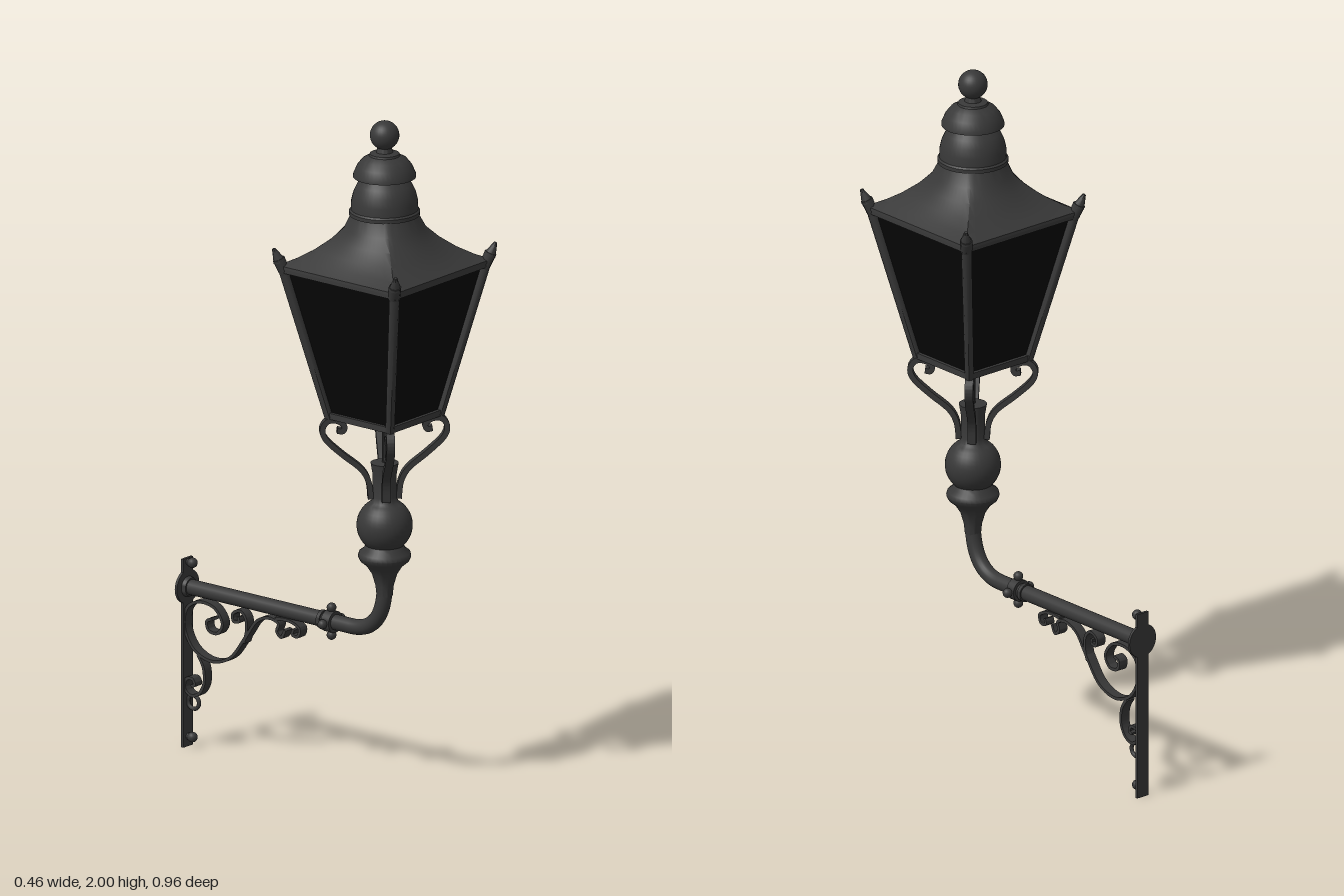
import * as THREE from 'three';
import { toCreasedNormals } from 'three/addons/utils/BufferGeometryUtils.js';

const iron = new THREE.MeshStandardMaterial({ color: 0x383838 });
iron.name = 'darkIron';
const pane = new THREE.MeshStandardMaterial({ color: 0x070707, side: THREE.DoubleSide });
pane.name = 'blackGlass';

const AXIS = 0.25; // z of the lantern's upright axis
const ARM_Y = 0.475;

function add(parent, name, geometry, material = iron, x = 0, y = 0, z = 0) {
  const mesh = new THREE.Mesh(geometry, material);
  mesh.name = name;
  mesh.position.set(x, y, z);
  parent.add(mesh);
  return mesh;
}

const v2 = (list) => list.map(([x, y]) => new THREE.Vector2(x, y));

function lathe(list, segments = 32) {
  return toCreasedNormals(new THREE.LatheGeometry(v2(list), segments), 0.7);
}

// Straight bar between two points
function bar(parent, name, a, b, r0, r1, sides = 8) {
  const from = new THREE.Vector3(...a), dir = new THREE.Vector3(...b).sub(from);
  const geo = toCreasedNormals(new THREE.CylinderGeometry(r1, r0, dir.length(), sides), 0.9);
  const mesh = add(parent, name, geo);
  mesh.position.copy(from).addScaledVector(dir, 0.5);
  mesh.quaternion.setFromUnitVectors(new THREE.Vector3(0, 1, 0), dir.normalize());
  return mesh;
}

// Flat iron strip following a 2D curve, extruded to the given width
function strip(list, thickness, width, steps = 60) {
  const curve = new THREE.SplineCurve(v2(list));
  const left = [], right = [];
  for (let i = 0; i <= steps; i++) {
    const p = curve.getPoint(i / steps), t = curve.getTangent(i / steps);
    const n = new THREE.Vector2(-t.y, t.x).multiplyScalar(thickness / 2);
    left.push(p.clone().add(n));
    right.unshift(p.clone().sub(n));
  }
  const geo = new THREE.ExtrudeGeometry(new THREE.Shape([...left, ...right]),
    { depth: width, bevelEnabled: false });
  geo.translate(0, 0, -width / 2);
  return toCreasedNormals(geo, 0.8);
}

function buildWallBracket() {
  const g = new THREE.Group();
  g.name = 'wallBracket';
  add(g, 'wallPlate', new THREE.BoxGeometry(0.042, 0.56, 0.008), iron, 0, 0.28, -0.476);
  for (const y of [0.03, 0.548]) {
    bar(g, 'boltShank', [0, y, -0.475], [0, y, -0.455], 0.01, 0.01, 12);
    add(g, 'boltHead', new THREE.SphereGeometry(0.015, 16, 12), iron, 0, y, -0.456);
  }
  bar(g, 'wallRosette', [0, ARM_Y, -0.48], [0, ARM_Y, -0.472], 0.05, 0.05, 28);
  bar(g, 'wallCollar', [0, ARM_Y, -0.472], [0, ARM_Y, -0.46], 0.03, 0.027, 24);

  // Arm tube sweeping up into the post
  const path = new THREE.CurvePath();
  const P = (y, z) => new THREE.Vector3(0, y, z);
  path.add(new THREE.LineCurve3(P(ARM_Y, -0.47), P(ARM_Y, 0.13)));
  path.add(new THREE.CubicBezierCurve3(P(ARM_Y, 0.13), P(ARM_Y, 0.21), P(0.53, AXIS), P(0.62, AXIS)));
  add(g, 'arm', new THREE.TubeGeometry(path, 80, 0.0225, 20));

  // Collars with knobs
  bar(g, 'armCollar', [0, ARM_Y, 0.04], [0, ARM_Y, 0.07], 0.032, 0.032, 24);
  bar(g, 'armRing', [0, ARM_Y, 0.018], [0, ARM_Y, 0.03], 0.027, 0.027, 24);
  for (let i = 0; i < 4; i++) {
    const a = i * Math.PI / 2;
    add(g, 'collarKnob', new THREE.SphereGeometry(0.014, 14, 10), iron,
      Math.cos(a) * 0.041, ARM_Y + Math.sin(a) * 0.041, 0.055);
  }

  // Scrollwork below the arm, given as (z, y)
  const scrolls = {
    mainScroll: [[-0.105, 0.42], [-0.118, 0.396], [-0.135, 0.41], [-0.13, 0.435], [-0.165, 0.444],
      [-0.21, 0.425], [-0.25, 0.37], [-0.305, 0.299], [-0.375, 0.274], [-0.44, 0.298], [-0.473, 0.355],
      [-0.465, 0.415], [-0.42, 0.442], [-0.365, 0.435], [-0.335, 0.395], [-0.352, 0.362],
      [-0.385, 0.364], [-0.392, 0.39], [-0.372, 0.4]],
    frontCurl: [[-0.14, 0.448], [-0.09, 0.45], [-0.053, 0.435], [-0.058, 0.41], [-0.078, 0.412], [-0.074, 0.428]],
    middleCurl: [[-0.257, 0.352], [-0.247, 0.385], [-0.249, 0.425], [-0.27, 0.444], [-0.296, 0.432],
      [-0.294, 0.41], [-0.275, 0.412], [-0.277, 0.426]],
    lowerScroll: [[-0.425, 0.283], [-0.405, 0.25], [-0.402, 0.205], [-0.42, 0.17], [-0.45, 0.158],
      [-0.472, 0.175], [-0.468, 0.203], [-0.446, 0.208], [-0.437, 0.192], [-0.45, 0.186]],
  };
  for (const [name, pts] of Object.entries(scrolls)) {
    const geo = strip(pts, 0.009, 0.03, pts.length * 7);
    geo.rotateY(-Math.PI / 2);
    add(g, name, geo);
  }
  const ring = add(g, 'lowerRing', new THREE.TorusGeometry(0.02, 0.006, 10, 24), iron, 0, 0.135, -0.452);
  ring.rotation.y = Math.PI / 2;
  return g;
}

function buildPost() {
  const g = new THREE.Group();
  g.name = 'post';
  const profile = [[0.023, 0.59], [0.026, 0.62], [0.036, 0.655], [0.052, 0.68], [0.07, 0.695], [0.076, 0.708],
    [0.073, 0.72], [0.06, 0.73], [0.056, 0.738]];
  for (let i = 0; i <= 12; i++) { // ball
    const a = -0.82 + i * (1.88 / 12);
    profile.push([0.08 * Math.cos(a), 0.8 + 0.08 * Math.sin(a)]);
  }
  profile.push([0.034, 0.885], [0.034, 0.95], [0.04, 0.985], [0, 0.987]);
  add(g, 'baluster', lathe(profile));
  bar(g, 'gasRod', [0, 0.98, 0], [0, 1.14, 0], 0.007, 0.007, 10);

  // Four curled supports on the diagonals
  const curl = [[0.04, 0.88], [0.046, 0.93], [0.068, 0.97], [0.122, 1.015], [0.167, 1.058], [0.178, 1.09],
    [0.163, 1.114], [0.136, 1.115], [0.116, 1.1], [0.12, 1.084], [0.136, 1.086]];
  const geo = strip(curl, 0.016, 0.024, 70);
  for (let i = 0; i < 4; i++) {
    add(g, 'curledSupport', geo).rotation.y = Math.PI / 4 + i * Math.PI / 2;
  }
  return g;
}

function buildLantern() {
  const g = new THREE.Group();
  g.name = 'lantern';
  const bottom = 1.13, top = 1.568, hb = 0.112, ht = 0.204;

  // Tapered glazing
  const glass = new THREE.CylinderGeometry((ht - 0.004) * Math.SQRT2, (hb - 0.004) * Math.SQRT2,
    top - bottom, 4, 1, true).toNonIndexed();
  glass.computeVertexNormals();
  add(g, 'glassPanes', glass, pane, 0, (top + bottom) / 2, 0).rotation.y = Math.PI / 4;
  add(g, 'lanternFloor', new THREE.BoxGeometry(hb * 2, 0.006, hb * 2), pane, 0, bottom, 0);
  for (let i = -2; i <= 2; i++) {
    add(g, 'floorSlat', new THREE.BoxGeometry(0.008, 0.008, hb * 2), iron, i * 0.036, bottom - 0.004, 0);
  }

  // Frame, repeated for each side
  for (let i = 0; i < 4; i++) {
    const side = new THREE.Group();
    side.name = 'frameSide';
    side.rotation.y = i * Math.PI / 2;
    g.add(side);
    add(side, 'bottomRail', new THREE.BoxGeometry(hb * 2 + 0.016, 0.018, 0.016), iron, 0, bottom, hb);
    add(side, 'topRail', new THREE.BoxGeometry(0.43, 0.016, 0.024), iron, 0, top, 0.203);
    bar(side, 'cornerPost', [hb, bottom - 0.006, hb], [ht, top, ht], 0.013, 0.015, 8);
    bar(side, 'cornerHorn', [0.2, 1.555, 0.2], [0.214, 1.6, 0.214], 0.016, 0.018);
    bar(side, 'hornTip', [0.212, 1.592, 0.212], [0.224, 1.63, 0.224], 0.018, 0.005);
  }

  // Roof swept from a square eave to a round neck
  const roofProfile = [[0.217, 1.572], [0.216, 1.58], [0.188, 1.598], [0.16, 1.622], [0.132, 1.653],
    [0.11, 1.685], [0.094, 1.728]];
  const roof = new THREE.LatheGeometry(v2(roofProfile), 64);
  const pos = roof.attributes.position;
  for (let i = 0; i < pos.count; i++) {
    const x = pos.getX(i), z = pos.getZ(i);
    const square = Math.hypot(x, z) / Math.max(Math.abs(x), Math.abs(z));
    const round = THREE.MathUtils.clamp((pos.getY(i) - 1.58) / 0.125, 0, 1);
    const k = THREE.MathUtils.lerp(square, 1, round);
    pos.setXYZ(i, x * k, pos.getY(i), z * k);
  }
  add(g, 'roof', toCreasedNormals(roof, 0.6));
  add(g, 'ceiling', new THREE.BoxGeometry(0.4, 0.006, 0.4), pane, 0, 1.57, 0);

  // Stacked domes and ball finial
  add(g, 'lowerDome', lathe([[0.09, 1.722], [0.101, 1.724], [0.101, 1.735], [0.096, 1.74], [0.095, 1.765],
    [0.089, 1.79], [0.078, 1.813], [0.064, 1.828], [0.064, 1.84]], 40));
  add(g, 'upperDome', lathe([[0.06, 1.834], [0.09, 1.836], [0.089, 1.845], [0.079, 1.868], [0.064, 1.887],
    [0.044, 1.898], [0.042, 1.904], [0.024, 1.908], [0.019, 1.925]], 40));
  add(g, 'ballFinial', new THREE.SphereGeometry(0.042, 28, 20), iron, 0, 1.958, 0);
  return g;
}

export function createModel() {
  const model = new THREE.Group();
  model.name = 'wallLantern';
  const post = buildPost(), lantern = buildLantern();
  post.position.z = lantern.position.z = AXIS;
  model.add(buildWallBracket(), post, lantern);
  return model;
}
